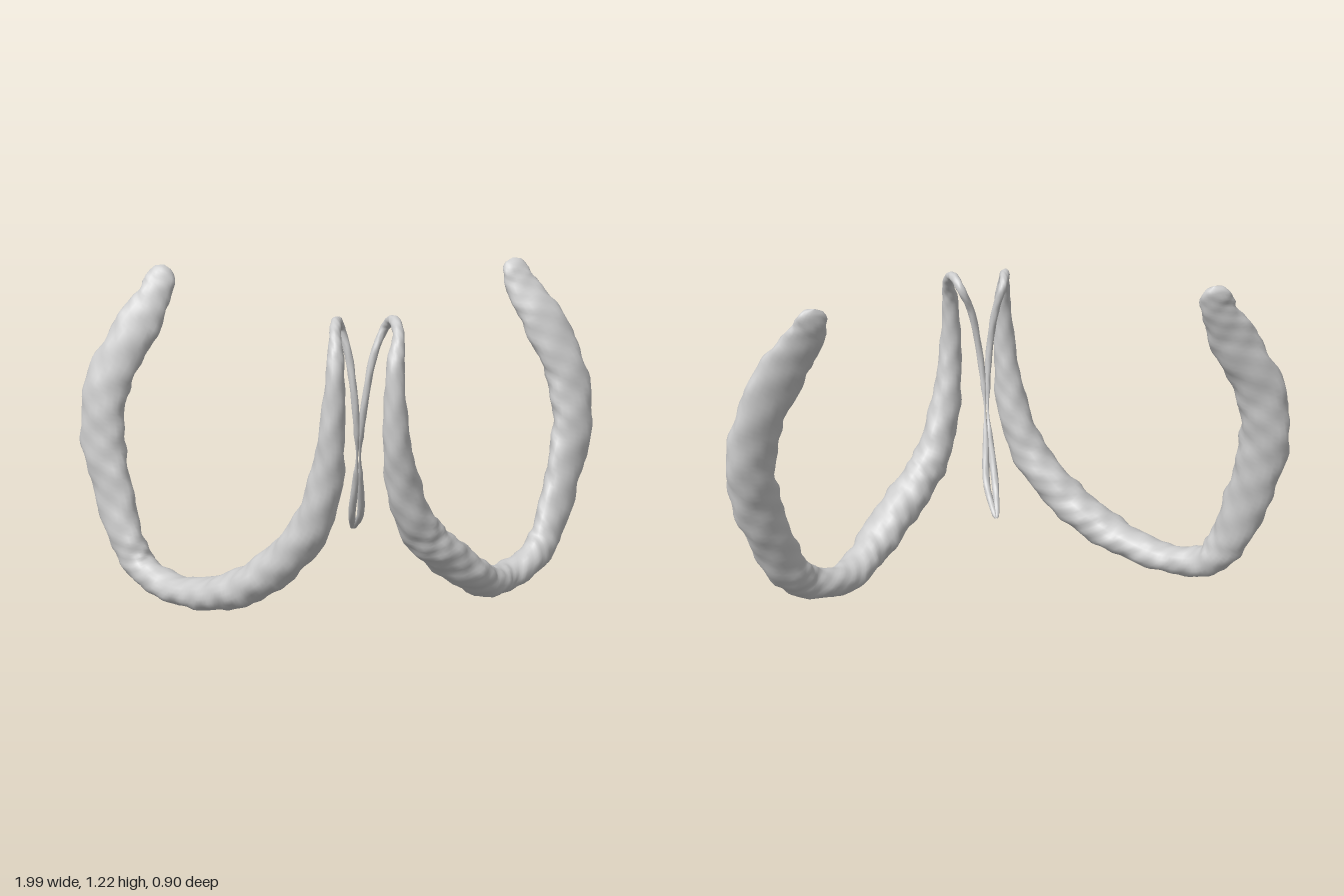
import * as THREE from 'three';

// Centre lines, from the broad upper tip, round the bottom and over the loop to the thin tail
const LEFT_PATH = [
  [.68, 1.22, -.44], [.705, 1.13, -.41], [.785, 1, -.365], [.88, .8, -.335], [.91, .6, -.305],
  [.87, .4, -.255], [.8, .2, -.18], [.73, .11, -.11], [.6, .065, -.02], [.5, .1, .1],
  [.4, .19, .19], [.29, .3, .265], [.215, .4, .315], [.15, .6, .37], [.125, .8, .4],
  [.125, 1, .385], [.14, 1.09, .335], [.13, 1.125, .27], [.11, 1.09, .21], [.07, 1, .225],
  [.04, .85, .235], [.025, .7, .215], [.028, .55, .16], [.04, .37, .07], [.025, .272, -.04],
];
const RIGHT_PATH = [
  [-.66, 1.22, -.39], [-.69, 1.13, -.36], [-.765, 1, -.33], [-.88, .8, -.305], [-.91, .6, -.285],
  [-.88, .4, -.25], [-.83, .2, -.2], [-.77, .095, -.155], [-.65, .055, -.035], [-.52, .08, .09],
  [-.4, .14, .19], [-.28, .245, .27], [-.17, .4, .345], [-.11, .6, .385], [-.09, .8, .405],
  [-.078, 1, .39], [-.075, 1.09, .34], [-.065, 1.125, .275], [-.045, 1.09, .21], [-.02, 1, .22],
  [0, .85, .235], [.012, .7, .215], [.015, .55, .16], [.008, .37, .07], [.02, .272, -.04],
];
// Half width (in the plane of the arch) and half thickness at each path point
const RADII = [
  [.05, .022], [.06, .03], [.083, .042], [.086, .052], [.088, .056],
  [.083, .05], [.073, .052], [.06, .056], [.053, .063], [.06, .072],
  [.07, .082], [.072, .076], [.07, .068], [.06, .055], [.042, .042],
  [.03, .03], [.02, .02], [.016, .018], [.015, .015], [.014, .013],
  [.013, .012], [.012, .011], [.012, .011], [.014, .013], [.008, .008],
];

const curveOf = (rows) =>
  new THREE.CatmullRomCurve3(rows.map(([x, y, z = 0]) => new THREE.Vector3(x, y, z)));

// Sweeps a lumpy ellipse along a path, rounding off both ends; side is +1 left, -1 right
function strand(name, rows, side, seed) {
  const path = curveOf(rows), radii = curveOf(RADII);
  const steps = (rows.length - 1) * 10, sides = 20;
  const first = path.getPoint(0), last = path.getPoint(1);
  const positions = [], indices = [];
  for (let i = 0; i <= steps; i++) {
    const t = i / steps;
    const centre = path.getPoint(t), tangent = path.getTangent(t), r = radii.getPoint(t);
    // the flat of the band faces forward at the broad tip and turns outward lower down
    const lean = THREE.MathUtils.lerp(0.2, 0.65, THREE.MathUtils.smoothstep(t, 0, 0.35));
    const flat = new THREE.Vector3(side * lean, 0, Math.sqrt(1 - lean * lean));
    const across = flat.cross(tangent).normalize();
    const through = tangent.clone().cross(across);
    const end = t < 0.5 ? first : last;
    const reach = Math.min(1, centre.distanceTo(end) / r.x);
    const cap = Math.sqrt(Math.max(0, 1 - (1 - reach) ** 2));
    for (let j = 0; j < sides; j++) {
      const a = (j / sides) * Math.PI * 2;
      // gentle irregular lumps
      const lump = 1 + 0.04 * Math.sin(i * 0.55 + 2 * a + seed)
        + 0.035 * Math.sin(i * 0.93 - 3 * a + seed * 2.3)
        + 0.025 * Math.sin(i * 1.4 + 5 * a + seed * 4.1);
      const p = centre.clone()
        .addScaledVector(across, Math.cos(a) * r.x * cap * lump)
        .addScaledVector(through, Math.sin(a) * r.y * cap * lump);
      positions.push(p.x, p.y, p.z);
      if (i < steps) {
        const k = (j + 1) % sides, b = i * sides, c = b + sides;
        indices.push(b + j, b + k, c + j, b + k, c + k, c + j);
      }
    }
  }
  const geometry = new THREE.BufferGeometry();
  geometry.setAttribute('position', new THREE.Float32BufferAttribute(positions, 3));
  geometry.setIndex(indices);
  geometry.computeVertexNormals();
  const mesh = new THREE.Mesh(geometry, new THREE.MeshStandardMaterial({ color: 0xcccccc }));
  mesh.name = name;
  return mesh;
}

export function createModel() {
  const group = new THREE.Group();
  group.name = 'pairedStrands';
  group.add(
    strand('leftStrand', LEFT_PATH, 1, 1.3),
    strand('rightStrand', RIGHT_PATH, -1, 4.2),
  );
  return group;
}
